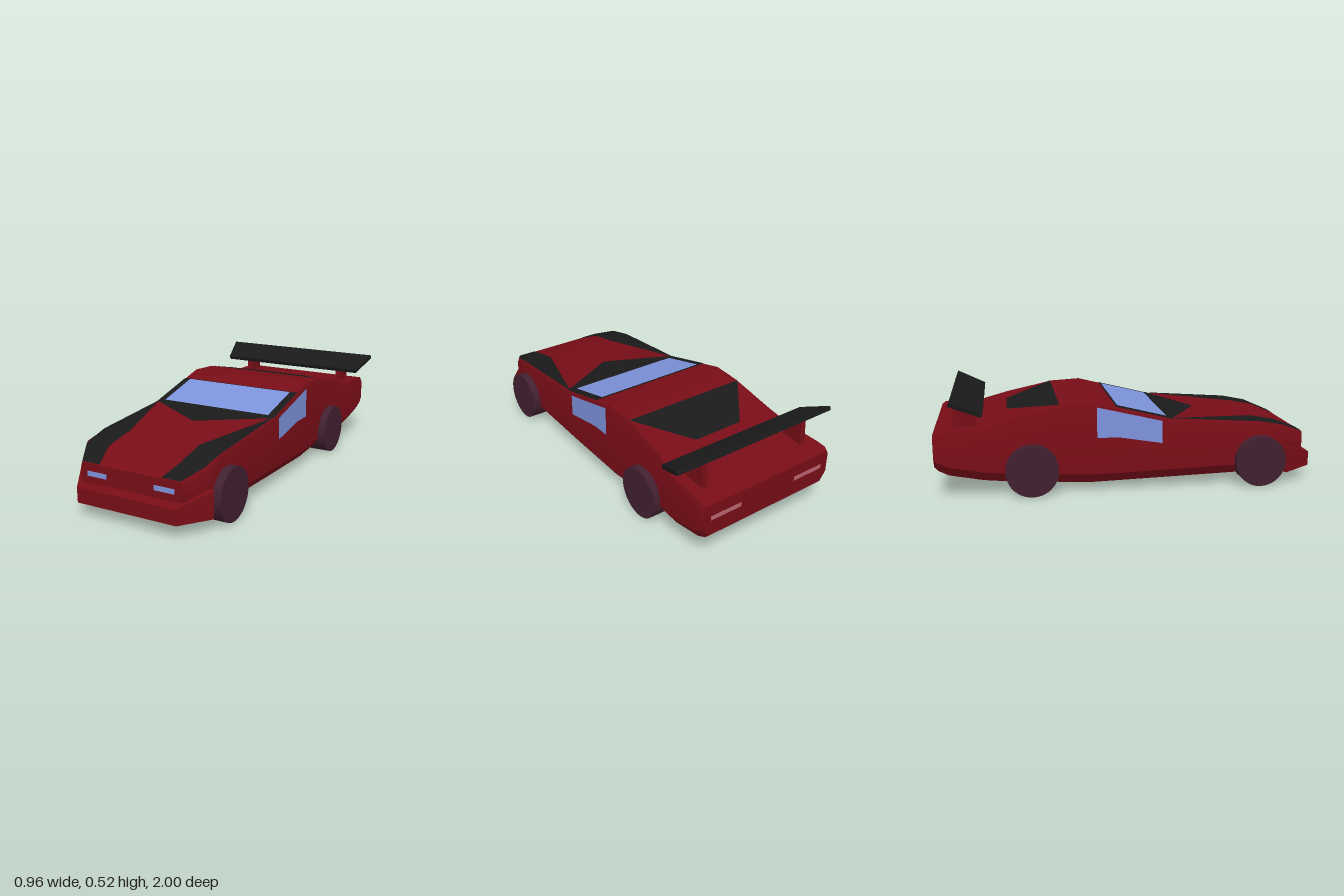
import * as THREE from 'three';
import { toCreasedNormals } from 'three/addons/utils/BufferGeometryUtils.js';
import { ConvexGeometry } from 'three/addons/geometries/ConvexGeometry.js';

const paint = (color, side = THREE.FrontSide) => new THREE.MeshStandardMaterial({ color, side });

// Body stations from nose to tail: z, top height, bottom height, half width
const STATIONS = [
  [0.955, 0.26, 0.07, 0.285],
  [0.82, 0.315, 0.065, 0.36],
  [0.69, 0.34, 0.065, 0.36],
  [0.2, 0.375, 0.055, 0.367],
  [-0.2, 0.475, 0.045, 0.367],
  [-0.36, 0.467, 0.052, 0.362],
  [-0.62, 0.41, 0.068, 0.366],
  [-0.76, 0.367, 0.09, 0.39],
  [-0.93, 0.36, 0.125, 0.397],
  [-0.98, 0.355, 0.15, 0.397],
  [-1.0, 0.34, 0.17, 0.395],
];

// Height of the upper body surface at a given z
function topHeight(z) {
  for (let i = 0; i < STATIONS.length - 1; i++) {
    const [z0, y0] = STATIONS[i], [z1, y1] = STATIONS[i + 1];
    if (z >= z1) return y0 + (y1 - y0) * (z0 - z) / (z0 - z1);
  }
  return STATIONS.at(-1)[1];
}

function geometryFrom(pos, idx) {
  const g = new THREE.BufferGeometry();
  g.setAttribute('position', new THREE.Float32BufferAttribute(pos, 3));
  g.setIndex(idx);
  g.computeVertexNormals();
  return g;
}

// Loft the stations into a closed shell
function bodyGeometry() {
  const pos = [], idx = [];
  let n = 0;
  for (const [z, t, b, w] of STATIONS) {
    const half = [[w - 0.035, b], [w, b + 0.05], [w, t - 0.02], [w - 0.008, t]];
    const ring = [...half, ...half.slice().reverse().map(([x, y]) => [-x, y])];
    n = ring.length;
    ring.forEach(([x, y]) => pos.push(x, y, z));
  }
  const last = (STATIONS.length - 1) * n;
  for (let i = 0; i < last; i += n) {
    for (let j = 0; j < n; j++) {
      const a = i + j, b = i + (j + 1) % n;
      idx.push(a, a + n, b, b, a + n, b + n);
    }
  }
  for (let k = 1; k < n - 1; k++) {
    idx.push(0, k, k + 1, last, last + k + 1, last + k);
  }
  return toCreasedNormals(geometryFrom(pos, idx), 0.6);
}

// Panel lying on the upper body; rows are [z, xFrom, xTo] with z rising
function panelGeometry(rows, lift) {
  const full = [];
  rows.forEach((r, i) => {
    full.push(r);
    const next = rows[i + 1];
    if (!next) return;
    STATIONS.map(s => s[0]).filter(z => z > r[0] && z < next[0]).sort((a, b) => a - b)
      .forEach(z => {
        const f = (z - r[0]) / (next[0] - r[0]);
        full.push([z, r[1] + (next[1] - r[1]) * f, r[2] + (next[2] - r[2]) * f]);
      });
  });
  const pos = [], idx = [];
  full.forEach(([z, x0, x1], i) => {
    const y = topHeight(z) + lift;
    pos.push(x0, y, z, x1, y, z);
    if (i) {
      const a = 2 * i - 2;
      idx.push(a, a + 2, a + 1, a + 1, a + 2, a + 3);
    }
  });
  return geometryFrom(pos, idx);
}

export function createModel() {
  const car = new THREE.Group();
  car.name = 'sportsCar';
  const red = paint(0x780d17), black = paint(0x1a1a1a), glass = paint(0x7d93dc, THREE.DoubleSide);
  const tyre = paint(0x422030), tail = paint(0xb8646f);

  const add = (name, geometry, material, x = 0, y = 0, z = 0) => {
    const mesh = new THREE.Mesh(geometry, material);
    mesh.name = name;
    mesh.position.set(x, y, z);
    car.add(mesh);
    return mesh;
  };
  // Convex solid from points mirrored across x
  const mirroredHull = points => new ConvexGeometry(points.flatMap(([x, y, z]) =>
    [new THREE.Vector3(x, y, z), new THREE.Vector3(-x, y, z)]));

  add('body', bodyGeometry(), red);
  add('frontBumper', mirroredHull([
    [0.28, 0.145, 1], [0.28, 0.068, 1],
    [0.38, 0.2, 0.84], [0.38, 0.062, 0.84],
    [0.355, 0.2, 0.82], [0.355, 0.062, 0.82],
  ]), red);

  // Black panels and windscreen
  add('windscreenFrame', panelGeometry([[-0.08, -0.36, 0.36], [0.21, -0.36, 0.36], [0.41, 0, 0]], 0.003), black);
  add('windscreen', panelGeometry([[-0.07, -0.32, 0.32], [0.19, -0.32, 0.32]], 0.006), glass);
  add('rearPanel', panelGeometry([[-0.63, -0.14, 0.14], [-0.56, -0.2, 0.2], [-0.37, -0.354, 0.354]], 0.003), black);
  const stripe = [[0.2, 0.354, 0.356], [0.67, 0.21, 0.354], [0.84, 0.21, 0.342], [0.954, 0.175, 0.278]];
  add('leftBonnetStripe', panelGeometry(stripe, 0.003), black);
  add('rightBonnetStripe', panelGeometry(stripe.map(([z, a, b]) => [z, -b, -a]), 0.003), black);

  // Side window outline, drawn as (-z, y) and turned to face sideways
  const windowShape = new THREE.Shape([[-0.16, 0.25], [0.07, 0.29], [0.18, 0.29], [0.18, 0.45], [-0.16, 0.368]]
    .map(([u, v]) => new THREE.Vector2(u, v)));
  const windowGeometry = new THREE.ShapeGeometry(windowShape).rotateY(Math.PI / 2);

  // Strut outline, drawn as (-z, y)
  const strutShape = new THREE.Shape([[0.785, 0.35], [0.905, 0.35], [0.895, 0.5], [0.795, 0.45]]
    .map(([u, v]) => new THREE.Vector2(u, v)));
  const strutGeometry = new THREE.ExtrudeGeometry(strutShape, { depth: 0.03, bevelEnabled: false })
    .translate(0, 0, -0.015).rotateY(Math.PI / 2);

  const wheelGeometry = new THREE.CylinderGeometry(0.135, 0.135, 0.12, 40).rotateZ(Math.PI / 2);

  for (const [side, s] of [['left', 1], ['right', -1]]) {
    add(side + 'Window', windowGeometry, glass, s * 0.37);
    add(side + 'SpoilerStrut', strutGeometry, red, s * 0.31);
    add(side + 'FrontWheel', wheelGeometry, tyre, s * 0.344, 0.135, 0.69);
    add(side + 'RearWheel', wheelGeometry, tyre, s * 0.344, 0.135, -0.515);
    add(side + 'Headlight', new THREE.BoxGeometry(0.11, 0.024, 0.01), glass, s * 0.19, 0.209, 0.954);
    add(side + 'TailLight', new THREE.BoxGeometry(0.18, 0.022, 0.008), tail, s * 0.26, 0.265, -0.998);
  }

  // Tilted spoiler blade, wider at its rear edge
  add('spoilerBlade', mirroredHull([
    [0.44, 0.432, -0.757], [0.44, 0.452, -0.749],
    [0.48, 0.5, -0.914], [0.48, 0.52, -0.906],
  ]), black);

  return car;
}
